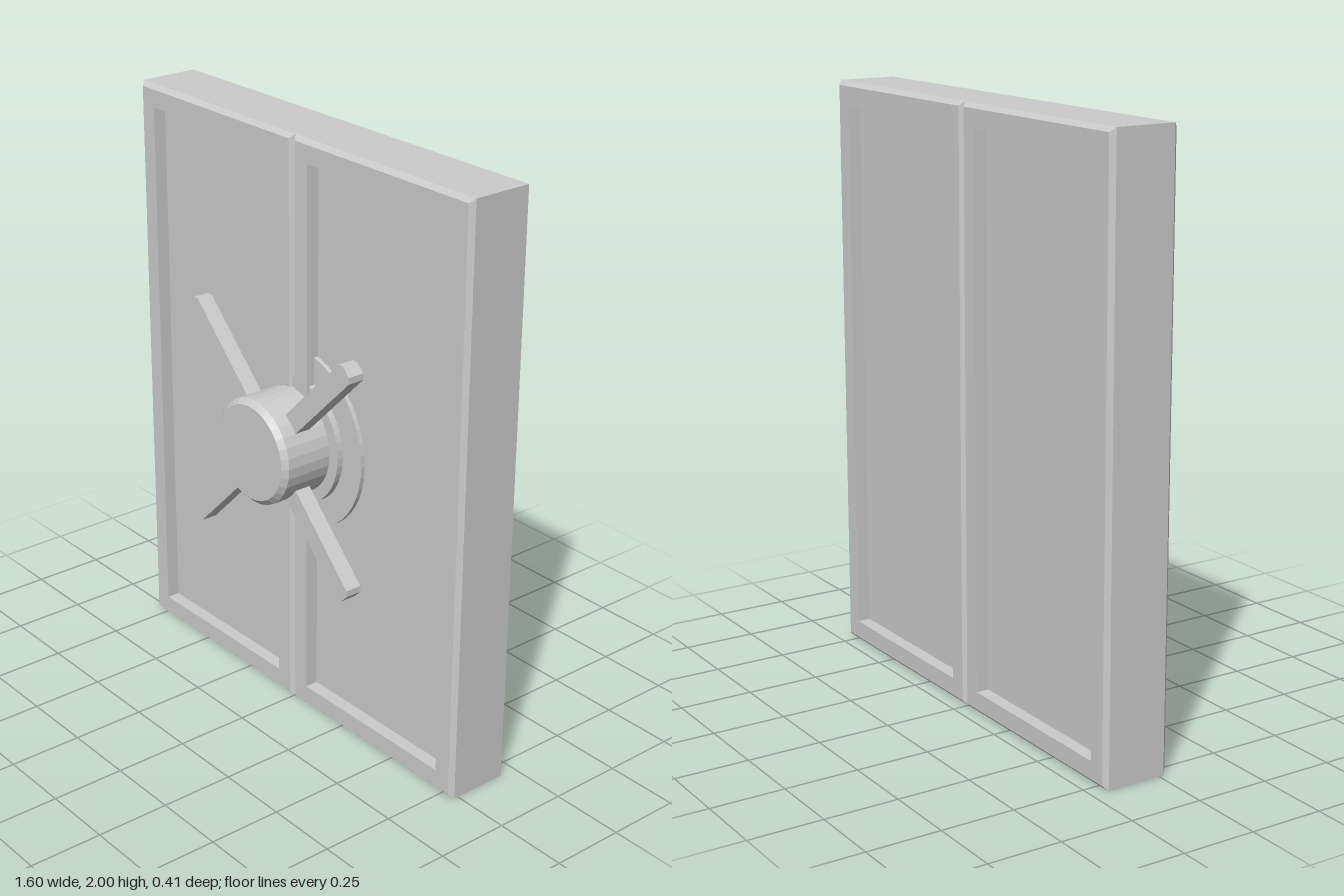
import * as THREE from 'three';

const material = new THREE.MeshStandardMaterial({ color: 0xcccccc, flatShading: true });
const HUB_Y = 0.98;

// Closed solid from nested rectangles, each given as [inset from outline, z]
function rectLoft(width, height, sections) {
  const pos = [];
  const rings = sections.map(([inset, z]) => {
    const x = width / 2 - inset, y = height / 2 - inset;
    return [[-x, -y, z], [x, -y, z], [x, y, z], [-x, y, z]];
  });
  const quad = (a, b, c, d) => pos.push(...a, ...b, ...c, ...a, ...c, ...d);
  for (let i = 0; i < rings.length - 1; i++) {
    for (let k = 0; k < 4; k++) {
      const n = (k + 1) % 4;
      quad(rings[i][k], rings[i][n], rings[i + 1][n], rings[i + 1][k]);
    }
  }
  const first = rings[0], last = rings[rings.length - 1];
  quad(first[3], first[2], first[1], first[0]);
  quad(last[0], last[1], last[2], last[3]);
  const geometry = new THREE.BufferGeometry();
  geometry.setAttribute('position', new THREE.Float32BufferAttribute(pos, 3));
  geometry.computeVertexNormals();
  return geometry;
}

// Round part turned about z from [radius, z] points
function turned(name, profile, segments) {
  const points = profile.map(([r, z]) => new THREE.Vector2(r, z));
  const mesh = new THREE.Mesh(new THREE.LatheGeometry(points, segments).rotateX(Math.PI / 2), material);
  mesh.name = name;
  mesh.position.y = HUB_Y;
  return mesh;
}

export function createModel() {
  const group = new THREE.Group();
  group.name = 'vaultDoor';

  // Two door leaves with chamfered rims and recessed panels on both faces
  const back = -0.205, front = 0.03, chamfer = 0.015, frame = 0.075, depth = 0.045;
  const leafGeometry = rectLoft(0.8, 2, [
    [frame, back + depth], [frame, back], [chamfer, back], [0, back + chamfer],
    [0, front - chamfer], [chamfer, front], [frame, front], [frame, front - depth],
  ]);
  for (const [name, x] of [['leftLeaf', 0.4], ['rightLeaf', -0.4]]) {
    const leaf = new THREE.Mesh(leafGeometry, material);
    leaf.name = name;
    leaf.position.set(x, 1, 0);
    group.add(leaf);
  }

  // Stepped round plates behind the hub
  group.add(turned('outerPlate', [[0, -0.05], [0.31, -0.05], [0.31, 0], [0, 0]], 48));
  group.add(turned('innerPlate', [[0, -0.04], [0.22, -0.04], [0.22, 0.022], [0, 0.022]], 48));

  // Hub with a chamfered front rim
  group.add(turned('hub', [[0, -0.03], [0.18, -0.03], [0.18, 0.187], [0.162, 0.205], [0, 0.205]], 32));

  // Four diagonal handle spokes with clipped outer corners
  const inner = 0.12, outer = 0.553, half = 0.035, clip = 0.015;
  const shape = new THREE.Shape([
    [inner, -half], [outer - clip, -half], [outer, -half + clip],
    [outer, half - clip], [outer - clip, half], [inner, half],
  ].map(([x, y]) => new THREE.Vector2(x, y)));
  const spokeGeometry = new THREE.ExtrudeGeometry(shape, { depth: 0.057, bevelEnabled: false });
  for (let i = 0; i < 4; i++) {
    const spoke = new THREE.Mesh(spokeGeometry, material);
    spoke.name = 'handleSpoke' + (i + 1);
    spoke.position.set(0, HUB_Y, 0.08);
    spoke.rotation.z = Math.PI / 4 + (i * Math.PI) / 2;
    group.add(spoke);
  }

  return group;
}
